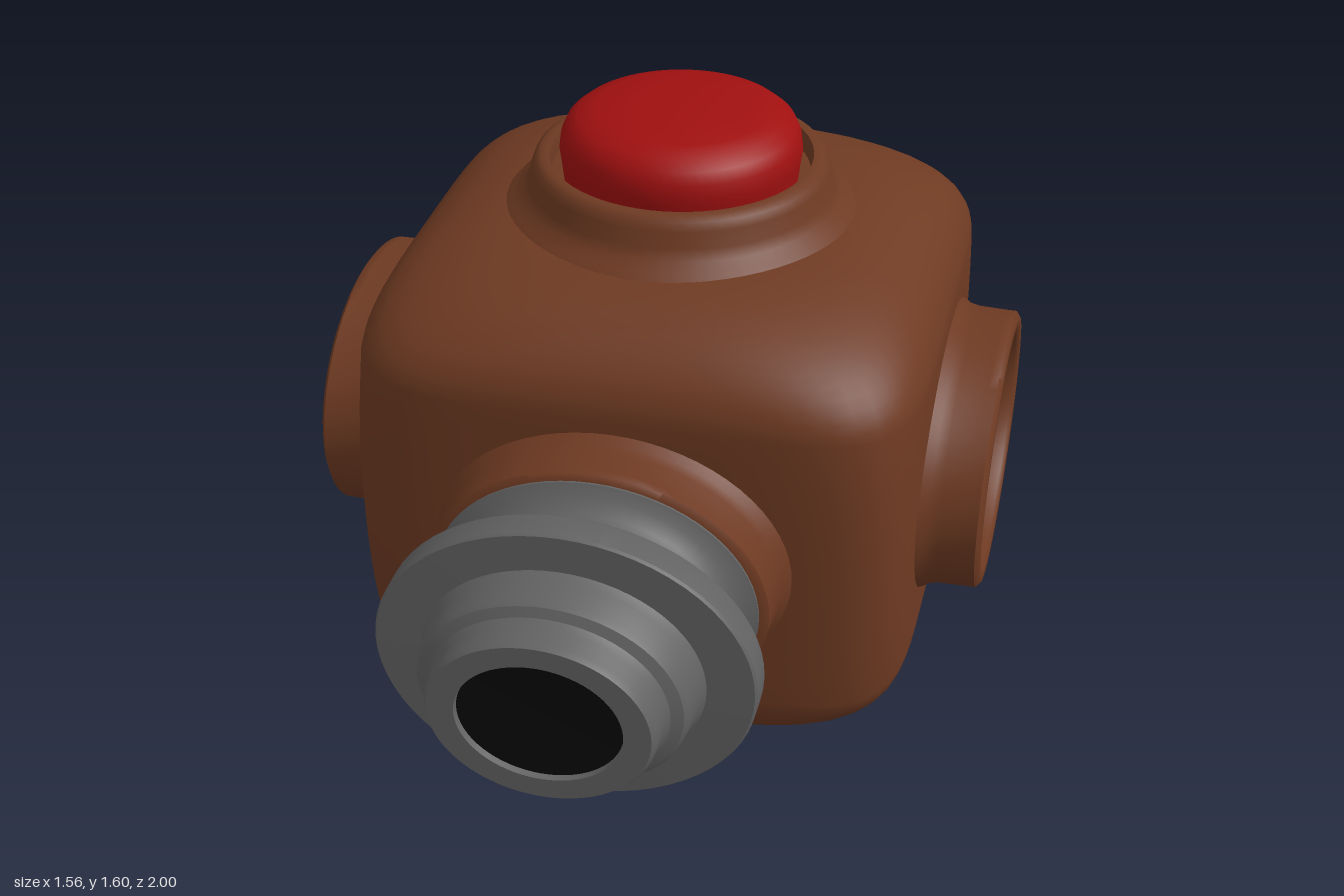
import * as THREE from 'three';
import { toCreasedNormals } from 'three/addons/utils/BufferGeometryUtils.js';

const mat = (color) => new THREE.MeshStandardMaterial({ color });
const brown = mat(0x6e3a22), grey = mat(0x626262), black = mat(0x080808);
const darkRed = mat(0xa01010), red = mat(0xc80c0c), lime = mat(0x98bc10), blue = mat(0x0808c0);

// Turned part around y; points are [radius, height]
function turned(name, points, material, sx, sz, crease = 0.6) {
  const lathe = new THREE.LatheGeometry(points.map(([r, h]) => new THREE.Vector2(r, h)), 64);
  lathe.scale(sx, 1, sz);
  const mesh = new THREE.Mesh(toCreasedNormals(lathe, crease), material);
  mesh.name = name;
  return mesh;
}

// Soft rounded block: square with rounded corners at the middle, rounder toward the poles
function bodyGeometry() {
  const half = 0.575, seg = 96, arc = 16, upper = [];
  for (let i = 1; i <= 6; i++) upper.push([0.64, 0.35 * i / 6]);
  for (let i = 1; i <= arc; i++) {
    const a = (i / arc) * Math.PI / 2;
    upper.push([0.30 + 0.34 * Math.cos(a), 0.35 + 0.225 * Math.sin(a)]);
  }
  upper.push([0.15, half], [0.001, half]);
  const lower = upper.map(([r, y]) => [r, -y]).reverse();
  const profile = [...lower, [0.64, 0], ...upper];

  const pos = [], index = [];
  for (const [r, y] of profile) {
    const q = 2.3 + 5.5 * (1 - (y / half) ** 2);
    for (let j = 0; j < seg; j++) {
      const a = (j / seg) * Math.PI * 2, c = Math.cos(a), s = Math.sin(a);
      const k = r * (Math.abs(c) ** q + Math.abs(s) ** q) ** (-1 / q);
      pos.push(c * k, y, s * k);
    }
  }
  for (let i = 0; i < profile.length - 1; i++) {
    for (let j = 0; j < seg; j++) {
      const n = (j + 1) % seg;
      const a = i * seg + j, b = a + seg, c = i * seg + n, d = c + seg;
      index.push(a, b, c, c, b, d);
    }
  }
  const g = new THREE.BufferGeometry();
  g.setAttribute('position', new THREE.Float32BufferAttribute(pos, 3));
  g.setIndex(index);
  g.computeVertexNormals();
  return g;
}

// Raised collar with a flared foot and a shallow recess
const collar = (name, face, top, flare, taper, sx, sz) => turned(name, [
  [1 + flare * 1.8, face - 0.03], [1 + flare, face + 0.005], [1 + flare * 0.4, face + 0.02],
  [1 + flare * 0.1, face + 0.045], [1 - taper * 0.4, top - 0.03], [1 - taper, top - 0.01],
  [0.96 - taper, top], [0.89 - taper * 0.5, top], [0.86, top - 0.01], [0.855, top - 0.045],
], brown, sx, sz, 0.9);

export function createModel() {
  const model = new THREE.Group();
  model.name = 'portedBody';
  const core = new THREE.Group();
  core.name = 'core';
  core.position.set(0, 0.8, -0.22);
  model.add(core);

  const body = new THREE.Mesh(bodyGeometry(), brown);
  body.name = 'body';
  core.add(body);

  const port = (name, rx, rz, ...parts) => {
    const g = new THREE.Group();
    g.name = name;
    g.rotation.set(rx, 0, rz);
    g.add(...parts);
    core.add(g);
  };
  const q = Math.PI / 2;

  // Domed buttons above and below
  for (const [name, rx] of [['topButton', 0], ['bottomButton', Math.PI]]) {
    port(name, rx, 0,
      collar('buttonCollar', 0.575, 0.685, 0.12, 0.04, 0.345, 0.345),
      turned('buttonDome', [[0.97, 0.63], [0.99, 0.68], [1, 0.7], [0.985, 0.73], [0.94, 0.757], [0.85, 0.777],
        [0.7, 0.79], [0.4, 0.799], [0, 0.8]], darkRed, 0.275, 0.275, 1));
  }

  // Recessed coloured windows on both sides and the back
  const windows = [
    ['leftWindow', 0, -q, lime, 0.305, 0.38],
    ['rightWindow', 0, q, blue, 0.305, 0.38],
    ['backWindow', -q, 0, red, 0.38, 0.305],
  ];
  for (const [name, rx, rz, material, sx, sz] of windows) {
    port(name, rx, rz,
      collar('windowCollar', 0.64, 0.78, 0.05, 0, sx, sz),
      turned('windowPane', [[0.87, 0.745], [0, 0.745]], material, sx, sz));
  }

  // Front nozzle, oval in section; heights measured from the body centre
  const nozzle = [
    [0.36, 0.76], [0.36, 0.785], [0.33, 0.798], [0.30, 0.825], [0.285, 0.86], [0.288, 0.885],
    [0.31, 0.912], [0.36, 0.938], [0.405, 0.958], [0.41, 0.965], [0.41, 1.03], [0.405, 1.036],
    [0.305, 1.038], [0.295, 1.06], [0.288, 1.12], [0.28, 1.132], [0.255, 1.142], [0.245, 1.16],
    [0.243, 1.205], [0.235, 1.22], [0.177, 1.22], [0.174, 1.195],
  ];
  port('frontNozzle', q, 0,
    collar('nozzleCollar', 0.64, 0.78, 0.05, 0, 0.38, 0.305),
    turned('nozzle', nozzle, grey, 1, 0.81),
    turned('nozzleBore', [[0.176, 1.205], [0, 1.2]], black, 1, 0.81));

  return model;
}
